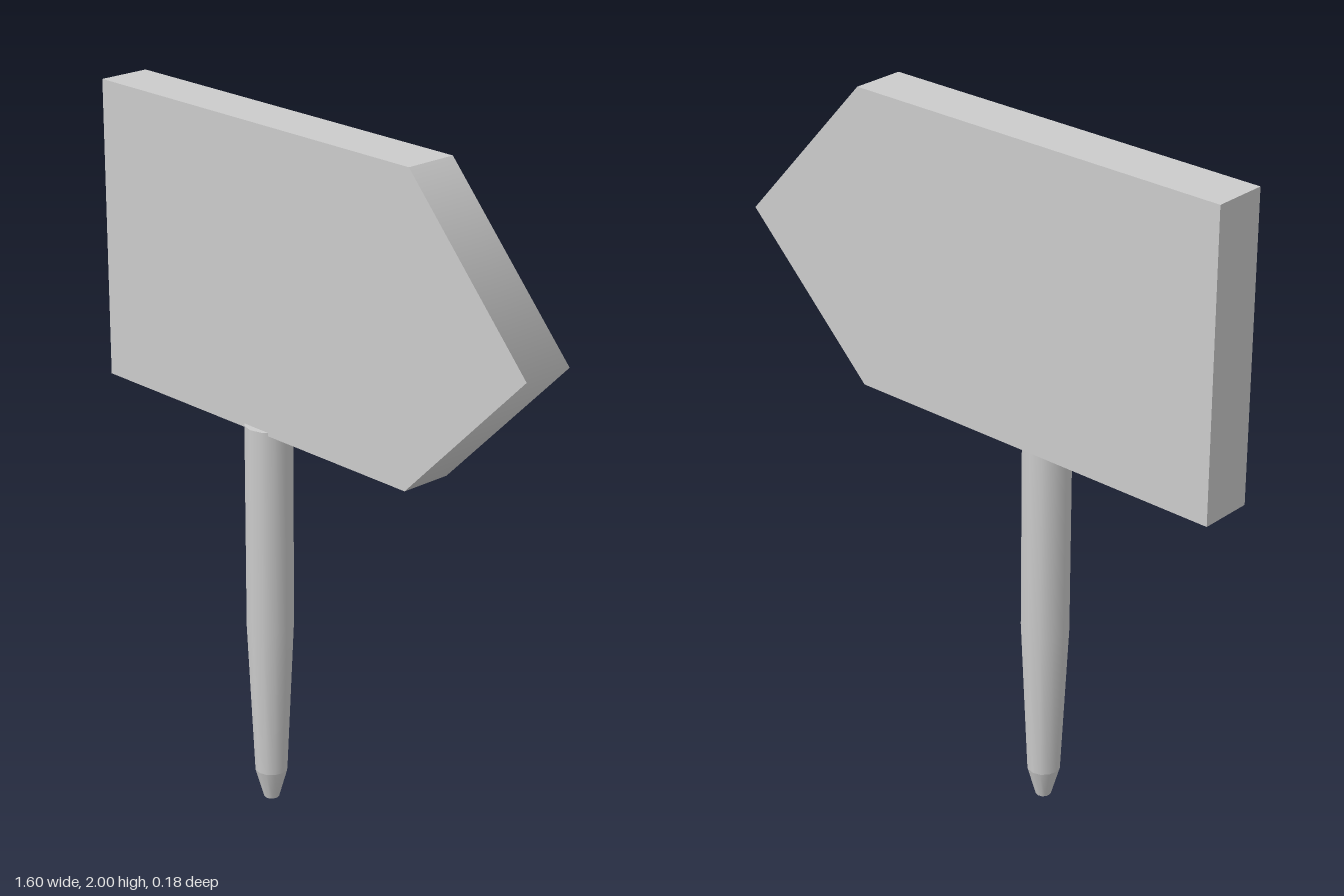
import * as THREE from 'three';

const material = new THREE.MeshStandardMaterial({ color: 0xcccccc });
const SIDES = 12;

function addMesh(parent, name, geometry) {
  const mesh = new THREE.Mesh(geometry, material);
  mesh.name = name;
  parent.add(mesh);
  return mesh;
}

// Turned section of the post, from [radius, height] pairs listed upwards
function turned(profile) {
  return new THREE.LatheGeometry(profile.map(([r, y]) => new THREE.Vector2(r, y)), SIDES);
}

// Arrow-shaped plate; the two slanted edges shade smoothly into each other at the point
function arrowBoard() {
  const tipX = 0.8;
  const outline = [[-0.8, 1.14], [0.39, 1.14], [tipX, 1.55], [0.39, 2], [-0.8, 2]];
  const shape = new THREE.Shape(outline.map(([x, y]) => new THREE.Vector2(x, y)));
  const geometry = new THREE.ExtrudeGeometry(shape, { depth: 0.154, bevelEnabled: false });
  const { position, normal } = geometry.attributes;
  for (let i = 0; i < position.count; i++) {
    const atTip = position.getX(i) > tipX - 0.001;
    if (atTip && Math.abs(normal.getZ(i)) < 0.5) normal.setXYZ(i, 1, 0, 0);
  }
  return geometry.translate(0, 0, -0.088);
}

export function createModel() {
  const group = new THREE.Group();
  group.name = 'arrowSign';

  addMesh(group, 'arrowBoard', arrowBoard());

  // Post: straight above, tapering below, with a blunt pointed foot
  const post = new THREE.Group();
  post.name = 'post';
  post.position.set(-0.18, 0, 0.02);
  group.add(post);
  addMesh(post, 'postShaft', turned([[0.047, 0.09], [0.068, 0.55], [0.068, 1.15]]));
  addMesh(post, 'postPoint', turned([[0.022, 0], [0.047, 0.09]]));

  // Flat ends
  const top = addMesh(post, 'postTop', new THREE.CircleGeometry(0.068, SIDES));
  top.rotation.x = -Math.PI / 2;
  top.position.y = 1.15;
  const foot = addMesh(post, 'postFoot', new THREE.CircleGeometry(0.022, SIDES));
  foot.rotation.x = Math.PI / 2;

  return group;
}
